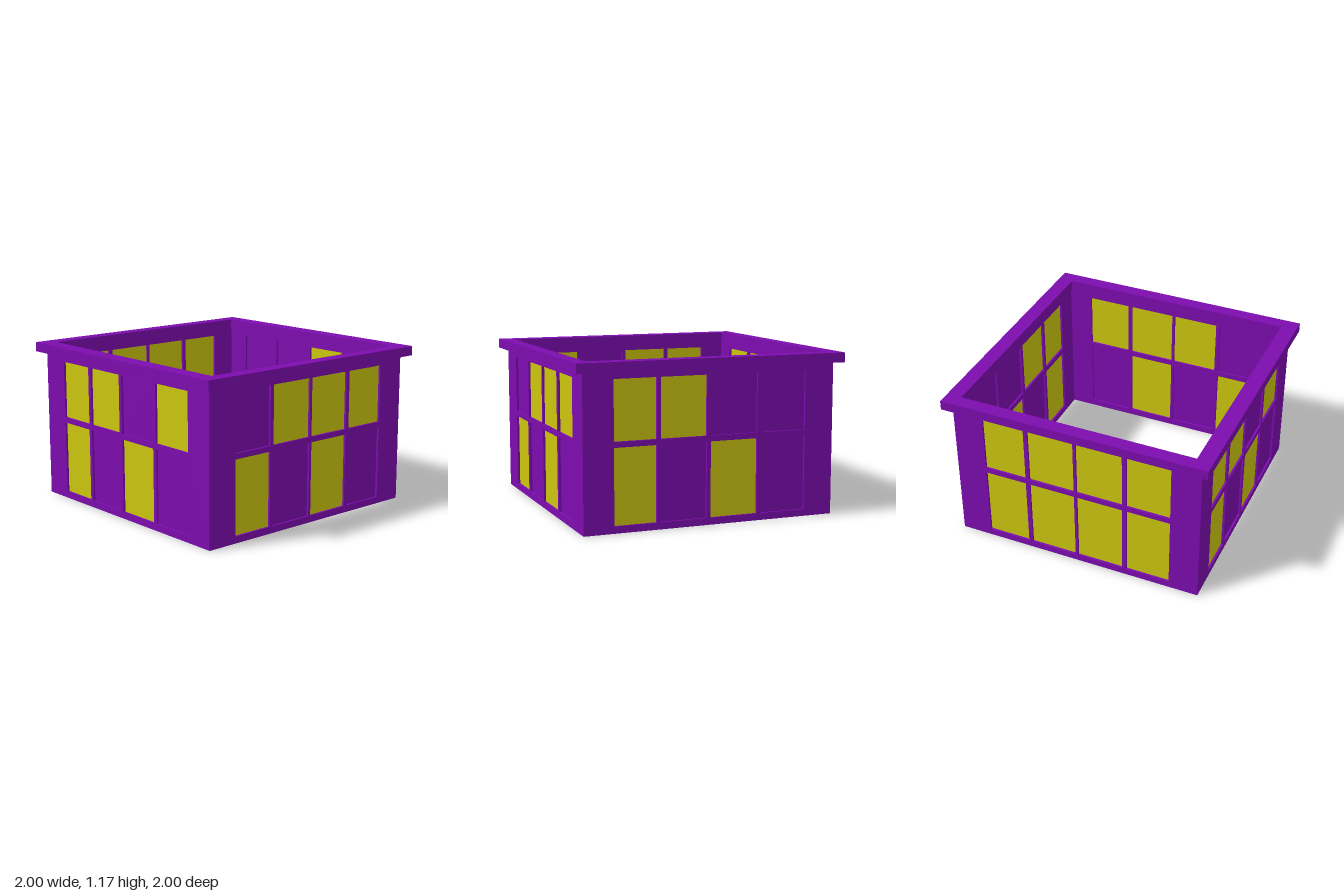
import * as THREE from 'three';

const purple = new THREE.MeshStandardMaterial({ color: 0x7c0cae });
const yellow = new THREE.MeshStandardMaterial({ color: 0xccc50f });

const OUT = 0.94, THICK = 0.04, WALL_TOP = 1.105, TOP = 1.175;
const ROWS = [[0.63, 1.055], [0.05, 0.59]];
const COLS_A = [[-0.72, -0.41], [-0.38, -0.04], [-0.01, 0.345], [0.375, 0.72]];
const COLS_B = [[-0.71, -0.39], [-0.36, -0.01], [0.01, 0.36], [0.39, 0.72]];

// rectangle outline, usable as a shape or a hole
function rect(path, x0, y0, x1, y1) {
  path.moveTo(x0, y0);
  path.lineTo(x1, y0);
  path.lineTo(x1, y1);
  path.lineTo(x0, y1);
  path.closePath();
  return path;
}

function add(parent, name, geometry, material) {
  const mesh = new THREE.Mesh(geometry, material);
  mesh.name = name;
  parent.add(mesh);
  return mesh;
}

// one wall facing +z with eight openings, each filled by a recessed pane
function buildWall(name, half, cols, lit) {
  const wall = new THREE.Group();
  wall.name = name;
  const shape = rect(new THREE.Shape(), -half, 0, half, WALL_TOP);
  ROWS.forEach(([y0, y1], r) => cols.forEach(([x0, x1], c) => {
    shape.holes.push(rect(new THREE.Path(), x0, y0, x1, y1));
    const on = lit[r][c] === 1;
    const pane = add(wall, on ? 'litWindow' : 'darkWindow',
      new THREE.BoxGeometry(x1 - x0, y1 - y0, 0.008), on ? yellow : purple);
    pane.position.set((x0 + x1) / 2, (y0 + y1) / 2, OUT - THICK / 2);
  }));
  const frame = add(wall, 'windowFrame',
    new THREE.ExtrudeGeometry(shape, { depth: THICK, bevelEnabled: false }), purple);
  frame.position.z = OUT - THICK;
  return wall;
}

export function createModel() {
  const model = new THREE.Group();
  model.name = 'buildingStorey';

  // four walls, turned around the centre; side walls fit between front and back
  const walls = [
    ['frontWall', OUT, COLS_A, [[1, 1, 0, 1], [1, 0, 1, 0]]],
    ['rightWall', OUT - THICK, COLS_B, [[0, 1, 1, 1], [1, 0, 1, 0]]],
    ['backWall', OUT, COLS_A, [[1, 1, 0, 0], [1, 0, 1, 0]]],
    ['leftWall', OUT - THICK, COLS_B, [[1, 1, 1, 1], [1, 1, 1, 1]]],
  ];
  walls.forEach(([name, half, cols, lit], i) => {
    const wall = buildWall(name, half, cols, lit);
    wall.rotation.y = i * Math.PI / 2;
    model.add(wall);
  });

  // overhanging rim around the open top
  const ring = rect(new THREE.Shape(), -1, -1, 1, 1);
  ring.holes.push(rect(new THREE.Path(), -0.898, -0.882, 0.898, 0.888));
  const cornice = add(model, 'cornice',
    new THREE.ExtrudeGeometry(ring, { depth: TOP - WALL_TOP, bevelEnabled: false }), purple);
  cornice.rotation.x = -Math.PI / 2;
  cornice.position.y = WALL_TOP;

  return model;
}
